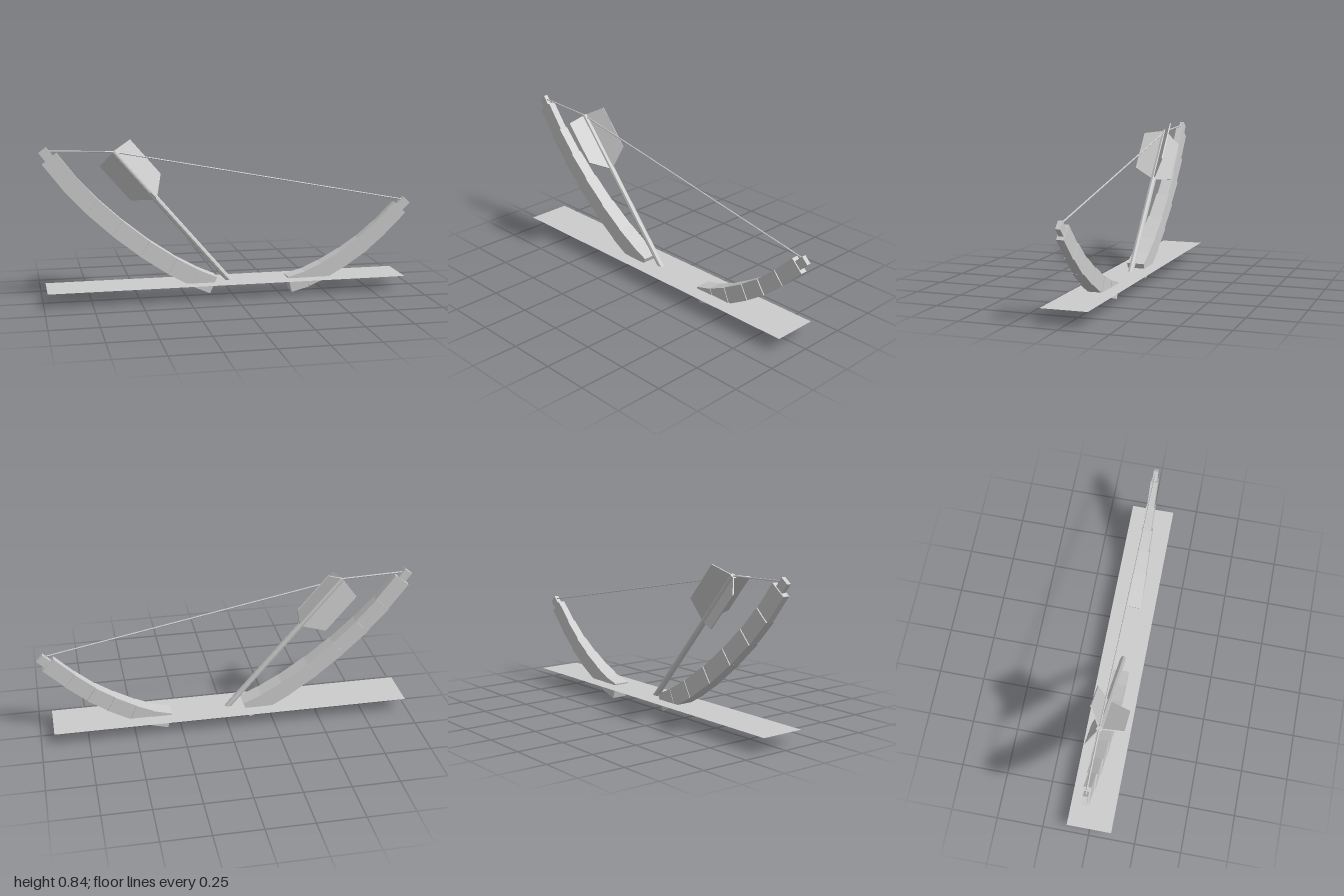
import * as THREE from 'three';

const grey = new THREE.MeshStandardMaterial({ color: 0xcccccc, flatShading: true, side: THREE.DoubleSide });
grey.name = 'plain grey';

function add(parent, geometry, name) {
  const mesh = new THREE.Mesh(geometry, grey);
  mesh.name = name;
  parent.add(mesh);
  return mesh;
}

// Curved limb: a chain of boxes from grip to tip that narrows, ending in a small nock block
function makeLimb(name, points, halfWidths, thickness) {
  const limb = new THREE.Group();
  limb.name = name;
  let angle = 0;
  halfWidths.forEach((half, i) => {
    const [ax, ay] = points[i], [bx, by] = points[i + 1];
    angle = Math.atan2(by - ay, bx - ax);
    const box = new THREE.BoxGeometry(Math.hypot(bx - ax, by - ay) * 1.03, thickness, half * 2);
    const segment = add(limb, box, 'limbSegment');
    segment.position.set((ax + bx) / 2, (ay + by) / 2, 0);
    segment.rotation.z = angle;
  });
  const [tx, ty] = points[points.length - 1];
  const nock = add(limb, new THREE.BoxGeometry(0.07, 0.048, 0.024), 'limbNock');
  nock.position.set(tx + Math.cos(angle) * 0.024, ty + Math.sin(angle) * 0.024, 0);
  nock.rotation.z = angle;
  return limb;
}

// Thin rod between two points
function addRod(parent, a, b, radius, sides, name) {
  const dir = b.clone().sub(a);
  const rod = add(parent, new THREE.CylinderGeometry(radius, radius, dir.length(), sides), name);
  rod.position.copy(a).add(b).multiplyScalar(0.5);
  rod.quaternion.setFromUnitVectors(new THREE.Vector3(0, 1, 0), dir.normalize());
}

// Arrow: shaft along local +y from the tail, with three radial vanes
function makeArrow() {
  const arrow = new THREE.Group();
  arrow.name = 'arrow';
  const length = 0.941;
  add(arrow, new THREE.CylinderGeometry(0.016, 0.016, length, 8), 'shaft').position.y = length / 2;
  const outline = new THREE.Shape([[0.005, 0], [0.12, 0.02], [0.12, 0.263], [0.005, 0.335]]
    .map(([x, y]) => new THREE.Vector2(x, y)));
  const vane = new THREE.ExtrudeGeometry(outline, { depth: 0.006, bevelEnabled: false }).translate(0, 0, -0.003);
  for (let i = 0; i < 3; i++) add(arrow, vane, 'vane').rotation.y = -Math.PI / 2 + i * Math.PI * 2 / 3;
  arrow.position.set(-0.62, 0.785, 0);
  arrow.rotation.z = Math.atan2(-0.612, -0.715);
  return arrow;
}

export function createModel() {
  const model = new THREE.Group();
  model.name = 'bowAndArrow';

  model.add(makeLimb('longLimb',
    [[-0.11, 0.064], [-0.206, 0.107], [-0.324, 0.174], [-0.468, 0.273], [-0.61, 0.388], [-0.735, 0.504], [-0.844, 0.623], [-0.944, 0.754]],
    [0.047, 0.045, 0.042, 0.037, 0.032, 0.026, 0.019], 0.094));
  model.add(makeLimb('shortLimb',
    [[0.312, 0.045], [0.405, 0.07], [0.503, 0.113], [0.618, 0.177], [0.719, 0.244], [0.824, 0.333], [0.93, 0.437]],
    [0.042, 0.039, 0.035, 0.03, 0.024, 0.019], 0.087));

  model.add(makeArrow());

  // Bowstring, drawn to the arrow tail
  const drawn = new THREE.Vector3(-0.625, 0.784, 0);
  addRod(model, new THREE.Vector3(-0.97, 0.796, 0), drawn, 0.004, 6, 'shortString');
  addRod(model, drawn, new THREE.Vector3(0.97, 0.476, 0), 0.004, 6, 'longString');

  // Flat sheet crossing the grip ends
  const sheet = add(model, new THREE.PlaneGeometry(1.91, 0.24).rotateX(-Math.PI / 2), 'sheet');
  sheet.position.set(-0.025, 0.079, 0);

  return model;
}
